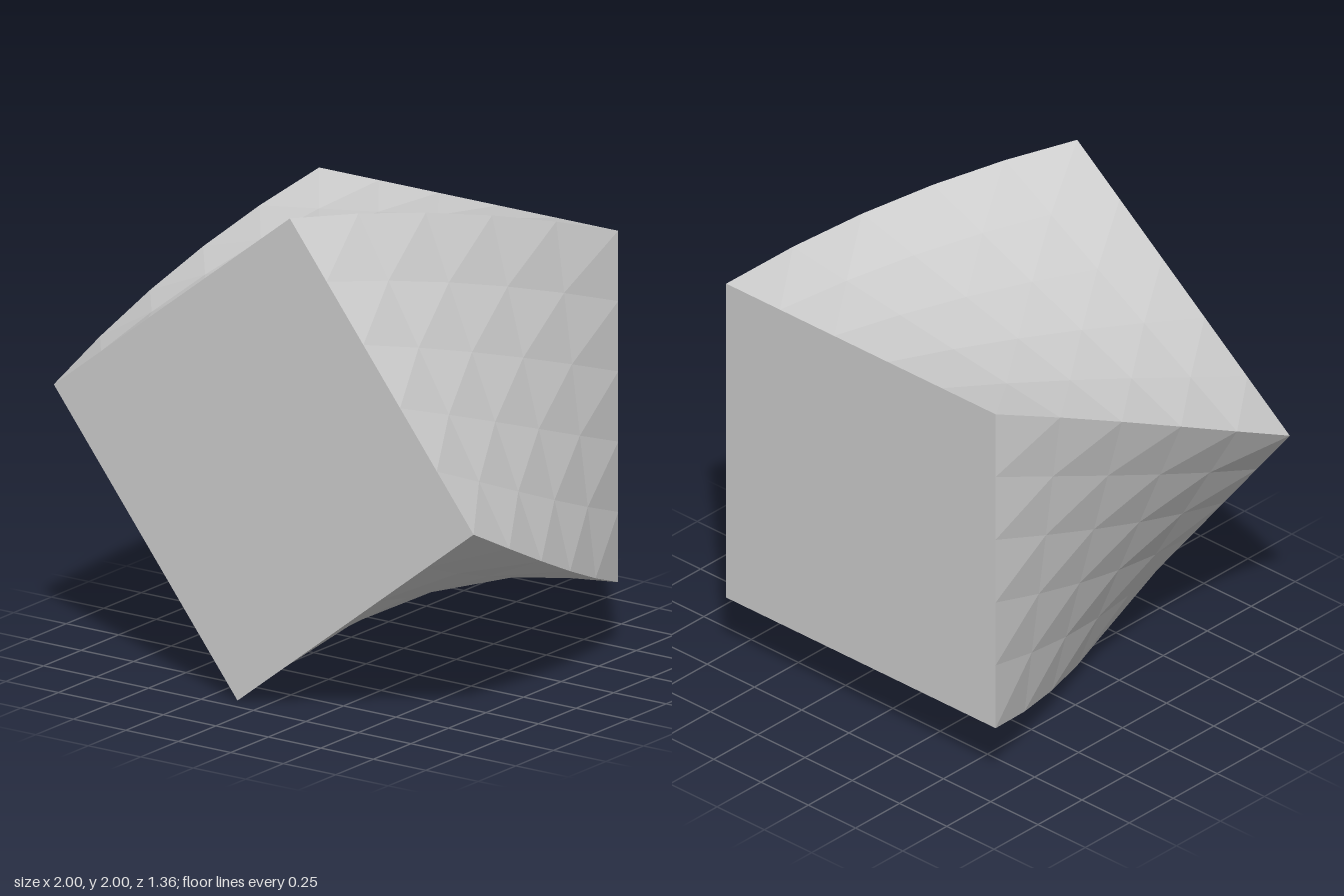
import * as THREE from 'three';
import { mergeGeometries } from 'three/addons/utils/BufferGeometryUtils.js';

const HALF = 0.7125;   // half side of the square section
const DEPTH = 1.364;   // length along z
const TWIST = THREE.MathUtils.degToRad(37.9); // front turned against the back
const SEGMENTS = 5;

// Turn every vertex about z in proportion to its depth
function twist(geometry) {
  const pos = geometry.attributes.position;
  const axis = new THREE.Vector3(0, 0, 1);
  const v = new THREE.Vector3();
  for (let i = 0; i < pos.count; i++) {
    v.fromBufferAttribute(pos, i);
    v.applyAxisAngle(axis, TWIST * (v.z / DEPTH + 0.5));
    pos.setXYZ(i, v.x, v.y, v.z);
  }
  geometry.computeVertexNormals();
  return geometry;
}

export function createModel() {
  const group = new THREE.Group();
  group.name = 'twistedBlock';
  const material = new THREE.MeshStandardMaterial({ color: 0xcccccc, flatShading: true });

  const addPart = (name, geometry) => {
    const mesh = new THREE.Mesh(twist(geometry), material);
    mesh.name = name;
    mesh.position.y = 1;
    group.add(mesh);
  };

  // Four faceted sides, one panel repeated around the axis
  const sides = [];
  for (let k = 0; k < 4; k++) {
    sides.push(new THREE.PlaneGeometry(DEPTH, 2 * HALF, SEGMENTS, SEGMENTS)
      .rotateY(Math.PI / 2)
      .translate(HALF, 0, 0)
      .rotateZ(k * Math.PI / 2));
  }
  addPart('twistedSides', mergeGeometries(sides));

  // Flat square ends
  const end = () => new THREE.PlaneGeometry(2 * HALF, 2 * HALF, SEGMENTS, SEGMENTS);
  addPart('frontFace', end().translate(0, 0, DEPTH / 2));
  addPart('backFace', end().rotateY(Math.PI).translate(0, 0, -DEPTH / 2));

  return group;
}
